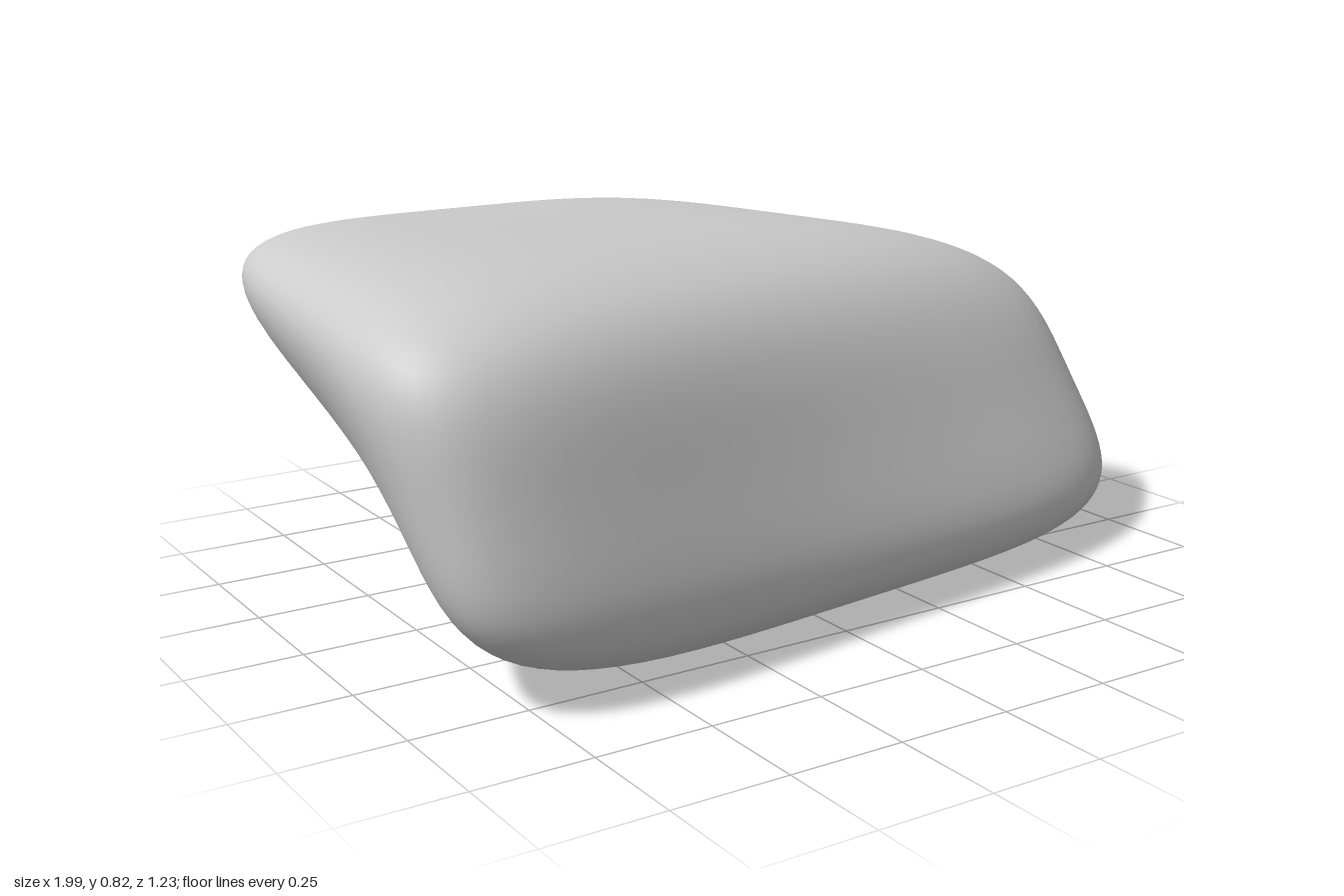
import * as THREE from 'three';
import { mergeVertices } from 'three/addons/utils/BufferGeometryUtils.js';

// Eight skewed corners of the boulder: left/right by x, bottom/top by y, back/front by z
const CORNERS = [
  [-0.33, -0.035, -0.32], [0.92, 0.03, -0.725], // bottom back
  [-1.155, 0.83, -0.61], [0.09, 0.835, -0.6],   // top back
  [-1.04, 0.005, 0.725], [1.135, -0.005, 0.48], // bottom front
  [-1.055, 0.82, 0.65], [1.06, 0.695, 0.02],    // top front
].map((c) => new THREE.Vector3(...c));

const ROUNDNESS = 4.1; // higher gives tighter edges

// Blend the eight corners for a point of the cube [-1, 1]^3
function blend(p) {
  const out = new THREE.Vector3();
  CORNERS.forEach((c, i) => {
    const wx = (1 + (i & 1 ? p.x : -p.x)) / 2;
    const wy = (1 + (i & 2 ? p.y : -p.y)) / 2;
    const wz = (1 + (i & 4 ? p.z : -p.z)) / 2;
    out.addScaledVector(c, wx * wy * wz);
  });
  return out;
}

function boulderGeometry() {
  let geo = new THREE.BoxGeometry(2, 2, 2, 28, 28, 28);
  geo.deleteAttribute('uv');
  geo.deleteAttribute('normal');
  geo = mergeVertices(geo, 1e-4);

  // Round the cube into a soft block, then skew it between the corners
  const pos = geo.attributes.position;
  const p = new THREE.Vector3();
  for (let i = 0; i < pos.count; i++) {
    p.fromBufferAttribute(pos, i);
    const sum = [p.x, p.y, p.z].reduce((s, v) => s + Math.abs(v) ** ROUNDNESS, 0);
    const q = blend(p.multiplyScalar(sum ** (-1 / ROUNDNESS)));
    pos.setXYZ(i, q.x, q.y, q.z);
  }

  // Stand it on the ground
  geo.computeBoundingBox();
  geo.translate(0, -geo.boundingBox.min.y, 0);
  geo.computeVertexNormals();
  return geo;
}

export function createModel() {
  const group = new THREE.Group();
  group.name = 'rock';
  const boulder = new THREE.Mesh(
    boulderGeometry(),
    new THREE.MeshStandardMaterial({ color: 0xcccccc })
  );
  boulder.name = 'boulder';
  group.add(boulder);
  return group;
}
